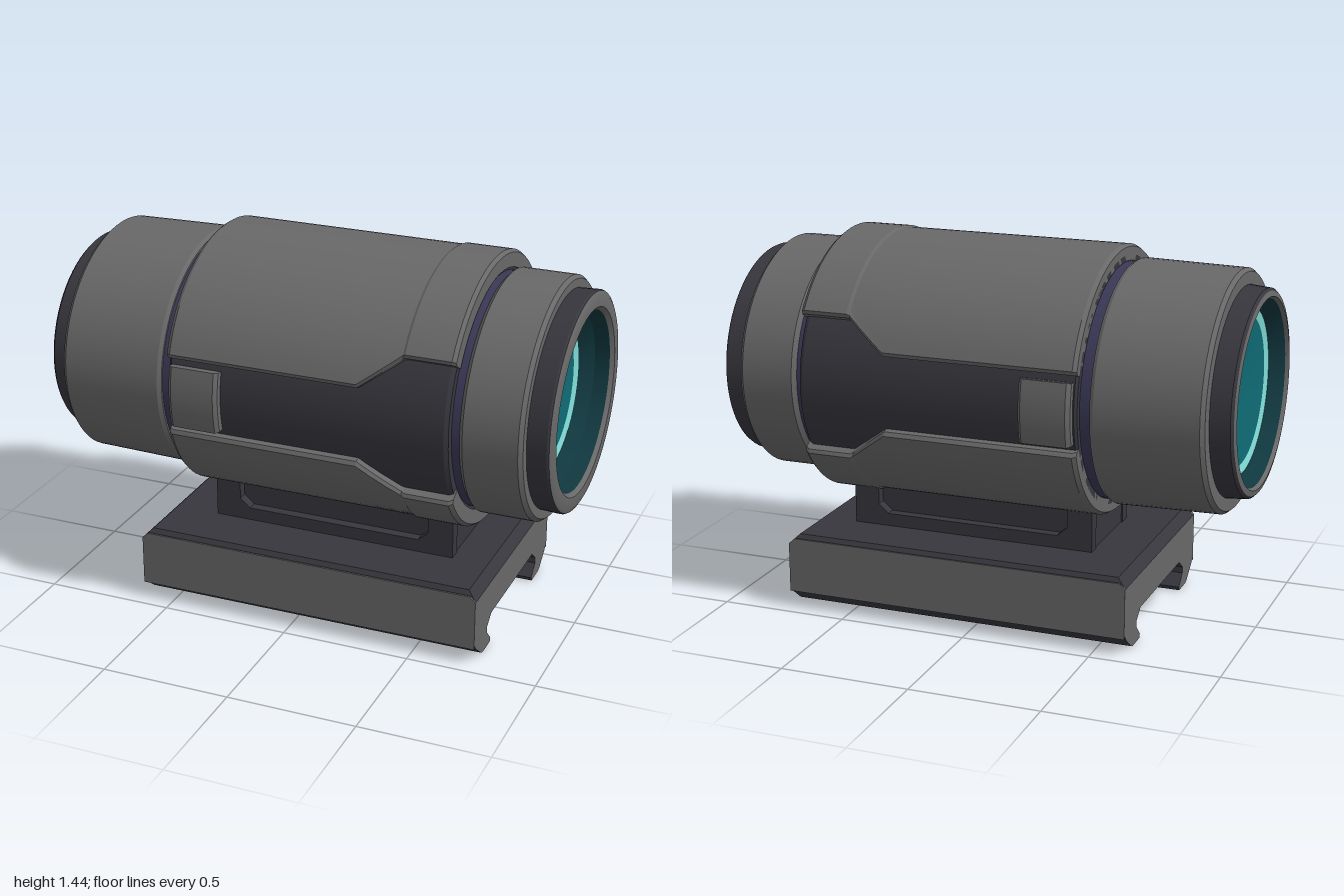
import * as THREE from 'three';
import { toCreasedNormals } from 'three/addons/utils/BufferGeometryUtils.js';

const CY = 0.922;  // height of the tube axis
const SZ = 1.08;   // tube is slightly wider than tall

const material = (name, color) => {
  const m = new THREE.MeshStandardMaterial({ color });
  m.name = name;
  return m;
};

// Surface of revolution about the x axis; points are [x, radius]
function lathe(points) {
  const g = new THREE.LatheGeometry(points.map(([x, r]) => new THREE.Vector2(r, x)), 72);
  g.rotateZ(-Math.PI / 2);
  g.scale(1, 1, SZ);
  g.translate(0, CY, 0);
  return toCreasedNormals(g, 0.5);
}

// Curved plate around the tube; stations are [x, outer radius, start angle, end angle]
function shell(stations, inner, n) {
  const pos = [], idx = [], m = 2 * (n + 1);
  for (const [x, r, a0, a1] of stations) {
    for (let j = 0; j < m; j++) {
      const k = j <= n ? j : m - 1 - j;
      const edge = k === 0 || k === n;
      const rad = j > n ? inner : edge ? r - 0.012 : r;
      const t = edge ? k / n : 0.01 + 0.98 * (k - 1) / (n - 2);
      const a = a0 + (a1 - a0) * t;
      pos.push(x, CY + rad * Math.sin(a), rad * Math.cos(a) * SZ);
    }
  }
  const last = (stations.length - 1) * m;
  for (let s = 0; s < last; s += m) {
    for (let j = 0; j < m; j++) {
      const j2 = (j + 1) % m;
      idx.push(s + j, s + m + j, s + j2, s + m + j, s + m + j2, s + j2);
    }
  }
  for (let k = 0; k < n; k++) {
    const i = m - 1 - k;
    idx.push(k, k + 1, i, k + 1, i - 1, i);
    idx.push(last + k, last + i, last + k + 1, last + k + 1, last + i, last + i - 1);
  }
  const g = new THREE.BufferGeometry();
  g.setAttribute('position', new THREE.Float32BufferAttribute(pos, 3));
  g.setIndex(idx);
  return toCreasedNormals(g, 0.5);
}

const shape = (pts) => new THREE.Shape(pts.map(([x, y]) => new THREE.Vector2(x, y)));

// Extrude a z-symmetric half profile [z, y] along x
function alongX(half, x0, x1) {
  const pts = [...half, ...half.map(([z, y]) => [-z, y]).reverse()];
  const g = new THREE.ExtrudeGeometry(shape(pts), { depth: x1 - x0, bevelEnabled: false });
  g.rotateY(Math.PI / 2);
  g.translate(x0, 0, 0);
  return g;
}

export function createModel() {
  const grey = material('grey metal', 0x686868);
  const dark = material('dark metal', 0x37363d);
  const groove = material('blue groove', 0x3a3856);
  const bore = material('dark teal bore', 0x10373e);
  const glass = material('teal glass', 0x0f6a74);
  const glow = material('pale cyan ring', 0x80dcd7);

  const model = new THREE.Group();
  const add = (name, geometry, mat) => {
    const mesh = new THREE.Mesh(geometry, mat);
    mesh.name = name;
    model.add(mesh);
    return mesh;
  };

  // Central tube and the narrow grooves at its ends
  add('tubeBody', lathe([[-0.45, 0.4], [-0.45, 0.47], [-0.44, 0.478], [0.63, 0.478], [0.645, 0.47], [0.645, 0.4]]), dark);
  add('rearGroove', lathe([[-0.5, 0.447], [-0.44, 0.447]]), groove);
  add('frontGroove', lathe([[0.63, 0.44], [0.69, 0.44]]), groove);

  // Grey collars
  add('rearCollar', lathe([[-0.91, 0.38], [-0.91, 0.442], [-0.895, 0.455], [-0.505, 0.463], [-0.49, 0.455], [-0.49, 0.4]]), grey);
  add('frontCollar', lathe([[0.66, 0.4], [0.66, 0.425], [0.69, 0.455], [0.895, 0.455], [0.91, 0.442], [0.91, 0.38]]), grey);

  // Dark end sleeves with grey rims
  add('rearSleeve', lathe([[-0.995, 0.378], [-0.985, 0.388], [-0.9, 0.395]]), dark);
  add('rearRim', lathe([[-0.985, 0.35], [-1, 0.357], [-0.995, 0.378]]), grey);
  add('frontSleeve', lathe([[0.9, 0.408], [0.985, 0.412], [0.993, 0.408]]), dark);
  add('frontRim', lathe([[0.993, 0.408], [1, 0.395], [1, 0.35], [0.985, 0.336]]), grey);

  // Bores, glowing rings and lenses
  add('frontBore', lathe([[0.985, 0.336], [0.93, 0.325], [0.88, 0.28]]), bore);
  add('frontLensRing', lathe([[0.88, 0.282], [0.872, 0.246]]), glow).material.side = THREE.DoubleSide;
  add('frontLens', lathe([[0.872, 0.247], [0.86, 0.12], [0.856, 0.0001]]), glass).material.side = THREE.DoubleSide;
  add('rearBore', lathe([[-0.93, 0.31], [-0.985, 0.35]]), bore);
  add('rearLensRing', lathe([[-0.93, 0.312], [-0.922, 0.278]]), glow);
  add('rearLens', lathe([[-0.922, 0.279], [-0.91, 0.13], [-0.906, 0.0001]]), glass);

  // Wrap-around panels: the edge steps back toward the front
  const outline = [
    [-0.45, 0.5, 0.148], [-0.435, 0.51, 0.148], [0.3, 0.51, 0.148], [0.35, 0.51, 0.186], [0.4, 0.51, 0.224],
    [0.455, 0.51, 0.266], [0.465, 0.516, 0.268], [0.638, 0.516, 0.268], [0.652, 0.505, 0.268],
  ];
  for (const [name, turn] of [['topPanel', 0], ['bottomPanel', Math.PI]]) {
    add(name, shell(outline.map(([x, r, h]) => {
      const a = Math.asin(h / 0.515);
      return [x, r, turn + a, turn + Math.PI - a];
    }), 0.45, 40), grey);
  }

  // Side buttons
  for (const [name, turn] of [['frontButton', 0], ['backButton', Math.PI]]) {
    const s = [[-0.435, 0.5], [-0.42, 0.513], [-0.25, 0.513], [-0.237, 0.5]];
    add(name, shell(s.map(([x, r]) => [x, r, turn - 0.24, turn + 0.24]), 0.46, 10), grey);
  }

  // Neck: core with a recessed pocket framed on each side
  const core = new THREE.BoxGeometry(0.97, 0.2, 0.34);
  core.translate(0.08, 0.39, 0);
  add('neckCore', core, dark);
  const frame = shape([[-0.41, 0.285], [0.57, 0.285], [0.57, 0.49], [-0.41, 0.49]]);
  frame.holes.push(shape([[-0.31, 0.45], [-0.31, 0.38], [-0.27, 0.345], [0.43, 0.345], [0.47, 0.38], [0.47, 0.45]]));
  for (const z of [-0.21, 0.16]) {
    const g = new THREE.ExtrudeGeometry(frame, { depth: 0.05, bevelEnabled: false });
    g.translate(0, 0, z);
    add('neckFrame', g, dark);
  }

  // Rail clamp: grey ends, dark top and underside
  add('railClamp', alongX([
    [0.445, 0.26], [0.445, 0.08], [0.425, 0.055], [0.365, 0.008], [0.345, 0], [0.262, 0], [0.256, 0.015],
    [0.3, 0.06], [0.3, 0.085], [0.252, 0.122],
  ], -0.62, 0.745), [grey, dark]);
  const top = alongX([[0.42, 0.295], [0.445, 0.26]], -0.62, 0.745);
  const p = top.attributes.position;
  for (let i = 0; i < p.count; i++) {
    if (p.getY(i) > 0.28) p.setX(i, THREE.MathUtils.clamp(p.getX(i), -0.585, 0.71));
  }
  top.computeVertexNormals();
  add('railTop', top, dark);

  // Grey side faces of the clamp
  const side = shape([[-0.62, 0.065], [0.745, 0.065], [0.745, 0.26], [0.722, 0.282], [-0.597, 0.282], [-0.62, 0.26]]);
  for (const z of [-0.449, 0.441]) {
    const g = new THREE.ExtrudeGeometry(side, { depth: 0.008, bevelEnabled: false });
    g.translate(0, 0, z);
    add('railSide', g, grey);
  }
  return model;
}
